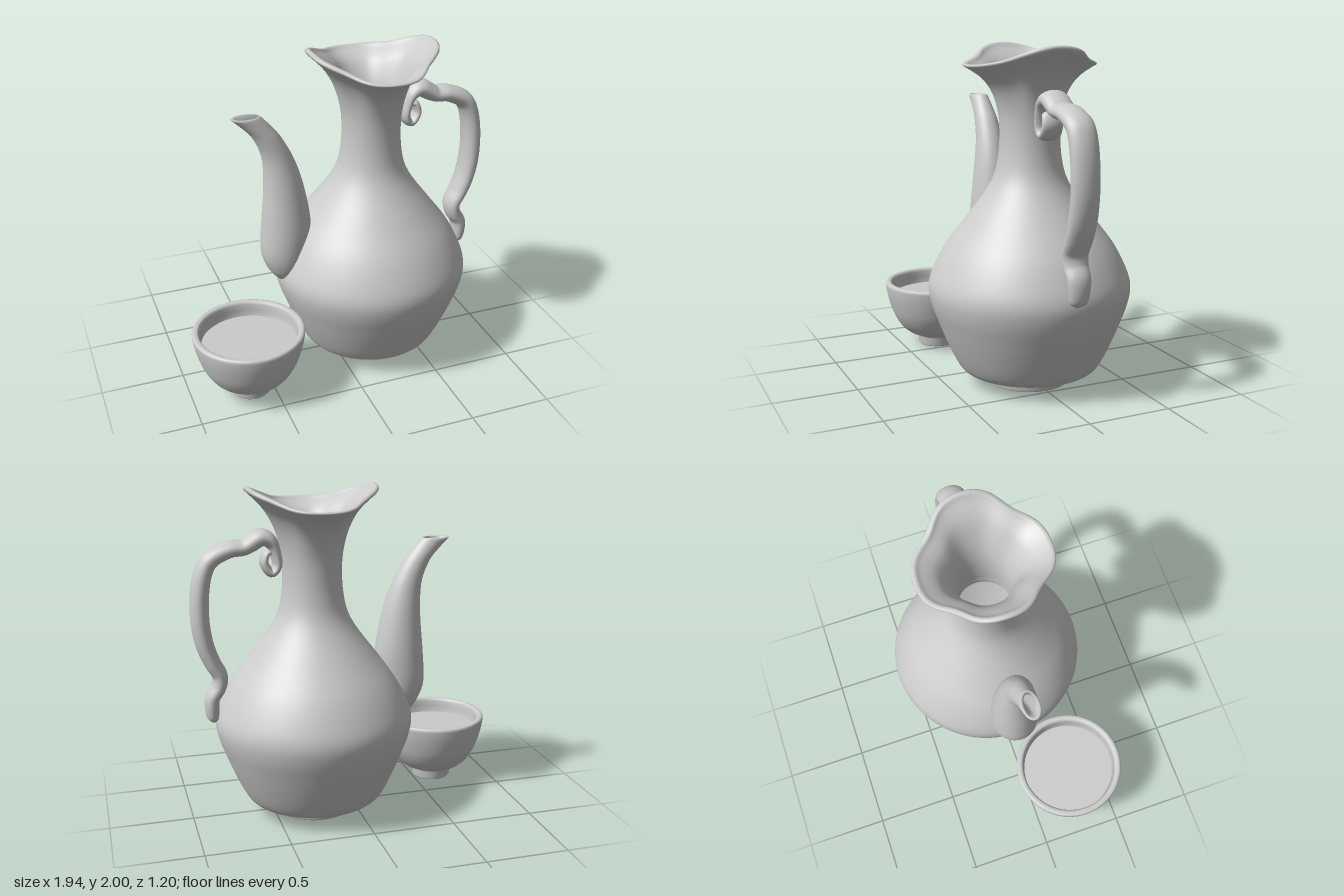
import * as THREE from 'three';

const material = new THREE.MeshStandardMaterial({ color: 0xcccccc, side: THREE.DoubleSide });

// Skin a list of closed rings, smooth all round.
function loft(name, rings) {
  const n = rings[0].length, pos = [], idx = [];
  rings.forEach(ring => ring.forEach(p => pos.push(p.x, p.y, p.z)));
  for (let i = 0; i < rings.length - 1; i++) {
    for (let j = 0; j < n; j++) {
      const a = i * n + j, b = i * n + (j + 1) % n;
      idx.push(a, b, b + n, a, b + n, a + n);
    }
  }
  const g = new THREE.BufferGeometry();
  g.setAttribute('position', new THREE.Float32BufferAttribute(pos, 3));
  g.setIndex(idx);
  g.computeVertexNormals();
  const mesh = new THREE.Mesh(g, material);
  mesh.name = name;
  return mesh;
}

const ringOf = (n, f) => Array.from({ length: n }, (_, j) => f(j / n * Math.PI * 2));

// Turn a profile of [radius, y]; warp may bend each ring.
function turned(name, profile, n, warp = (r, y) => [r, y]) {
  return loft(name, profile.map(([r0, y0]) => ringOf(n, t => {
    const [r, y] = warp(r0, y0, t);
    return new THREE.Vector3(r * Math.cos(t), y, -r * Math.sin(t));
  })));
}

const smooth = (pts, n) => new THREE.SplineCurve(pts.map(p => new THREE.Vector2(...p)))
  .getPoints(n).map(p => [p.x, p.y]);

const curve3 = pts => new THREE.CatmullRomCurve3(pts.map(p => new THREE.Vector3(...p)), false, 'catmullrom');

// Rim with four round lobes, high at the sides and low at front and back.
function rimWarp(r, y, t) {
  const k = THREE.MathUtils.clamp((y - 1.4) / 0.535, 0, 1) ** 3;
  return [r + k * (0.022 * Math.cos(4 * t) - 0.006 * Math.cos(8 * t)),
    y + k * (0.055 * Math.cos(2 * t) + 0.007 * Math.cos(4 * t))];
}

function makeJug() {
  const foot = [[0.001, 0.045], [0.205, 0.045], [0.218, 0.035], [0.223, 0.008], [0.23, 0], [0.238, 0],
    [0.248, 0.01], [0.25, 0.05], [0.254, 0.06]];
  const outside = smooth([[0.26, 0.064], [0.35, 0.075], [0.405, 0.098], [0.447, 0.16], [0.498, 0.27], [0.544, 0.385],
    [0.584, 0.5], [0.597, 0.6], [0.568, 0.7], [0.494, 0.84], [0.38, 0.99], [0.268, 1.14], [0.209, 1.25], [0.183, 1.37],
    [0.176, 1.5], [0.185, 1.62], [0.218, 1.74], [0.275, 1.835], [0.36, 1.91]], 90);
  const lip = [[0.371, 1.917], [0.376, 1.925], [0.374, 1.933], [0.366, 1.938], [0.353, 1.938], [0.344, 1.934],
    [0.339, 1.927]];
  const inside = smooth([[0.328, 1.916], [0.25, 1.85], [0.19, 1.74], [0.156, 1.62], [0.147, 1.5], [0.155, 1.37],
    [0.18, 1.25], [0.35, 0.99], [0.54, 0.7], [0.56, 0.55], [0.4, 0.14], [0.36, 0.11]], 60);
  return turned('jug', [...foot, ...outside, ...lip, ...inside, [0.001, 0.11]], 96, rimWarp);
}

// Spout sections: outer edge, inner edge (x, y) and half depth.
function makeSpout() {
  const outer = curve3([[-0.34, 0.57, 0.03], [-0.372, 0.59, 0.08], [-0.425, 0.66, 0.122], [-0.462, 0.775, 0.143],
    [-0.453, 0.97, 0.138], [-0.434, 1.2, 0.112], [-0.44, 1.39, 0.086], [-0.488, 1.52, 0.07],
    [-0.55, 1.595, 0.06], [-0.615, 1.655, 0.053]]);
  const inner = curve3([[-0.25, 0.57, 0], [-0.22, 0.61, 0], [-0.19, 0.68, 0], [-0.165, 0.8, 0],
    [-0.155, 0.97, 0], [-0.195, 1.2, 0], [-0.248, 1.37, 0], [-0.32, 1.51, 0], [-0.38, 1.59, 0], [-0.44, 1.657, 0]]);
  const section = (a, b, depth) => ringOf(32, t => {
    const k = (1 + Math.cos(t)) / 2;
    return new THREE.Vector3(a.x + (b.x - a.x) * k, a.y + (b.y - a.y) * k, -depth * Math.sin(t));
  });
  const rings = [];
  for (let i = 0; i <= 56; i++) {
    const a = outer.getPoint(i / 56), b = inner.getPoint(i / 56);
    rings.push(section(a, b, a.z));
  }
  // open mouth and bore
  [[-0.609, 1.66, -0.446, 1.661, 0.047], [-0.592, 1.658, -0.463, 1.658, 0.034], [-0.555, 1.62, -0.42, 1.62, 0.032],
    [-0.48, 1.52, -0.36, 1.52, 0.03], [-0.4, 1.38, -0.29, 1.38, 0.03]]
    .forEach(([ax, ay, bx, by, d]) => rings.push(section({ x: ax, y: ay }, { x: bx, y: by }, d)));
  return loft('spout', rings);
}

// Handle: path x, y with half thickness and half width, from curl to lower end.
function makeHandle() {
  const pts = [[0.475, 1.6, 0.002, 0.01], [0.488, 1.618, 0.02, 0.045], [0.515, 1.61, 0.025, 0.058],
    [0.527, 1.555, 0.026, 0.064], [0.487, 1.5, 0.028, 0.068], [0.45, 1.545, 0.029, 0.072],
    [0.466, 1.64, 0.034, 0.078], [0.498, 1.69, 0.045, 0.083], [0.545, 1.707, 0.053, 0.084],
    [0.6, 1.678, 0.052, 0.084], [0.65, 1.653, 0.047, 0.084], [0.73, 1.646, 0.05, 0.084], [0.835, 1.598, 0.054, 0.084],
    [0.882, 1.52, 0.054, 0.084], [0.907, 1.39, 0.055, 0.084], [0.91, 1.23, 0.055, 0.084], [0.888, 1.09, 0.053, 0.084],
    [0.848, 0.98, 0.049, 0.083], [0.808, 0.9, 0.046, 0.08], [0.816, 0.83, 0.045, 0.076],
    [0.855, 0.765, 0.044, 0.071], [0.86, 0.69, 0.042, 0.063], [0.853, 0.635, 0.033, 0.05], [0.85, 0.608, 0.002, 0.012]];
  const path = curve3(pts.map(p => [p[0], p[1], 0]));
  const size = curve3(pts.map(p => [p[2], p[3], 0]));
  const rings = [];
  for (let i = 0; i <= 150; i++) {
    const p = path.getPoint(i / 150), s = size.getPoint(i / 150), d = path.getTangent(i / 150);
    rings.push(ringOf(24, t => new THREE.Vector3(
      p.x + d.y * s.x * Math.cos(t), p.y - d.x * s.x * Math.cos(t), -s.y * Math.sin(t))));
  }
  return loft('handle', rings);
}

function makeCup() {
  const cup = new THREE.Group();
  cup.name = 'cup';
  const foot = [[0.001, 0.05], [0.092, 0.05], [0.104, 0.042], [0.108, 0.008], [0.112, 0], [0.117, 0],
    [0.123, 0.008], [0.126, 0.055], [0.132, 0.066]];
  const outside = smooth([[0.14, 0.07], [0.188, 0.09], [0.24, 0.136], [0.285, 0.212], [0.312, 0.29],
    [0.329, 0.36], [0.336, 0.41]], 30);
  const rim = [[0.336, 0.42], [0.331, 0.428], [0.322, 0.431], [0.306, 0.43], [0.298, 0.424], [0.294, 0.412]];
  const inside = smooth([[0.292, 0.39], [0.285, 0.33], [0.25, 0.23], [0.17, 0.13], [0.1, 0.1]], 20);
  const bowl = turned('bowl', [...foot, ...outside, ...rim, ...inside, [0.001, 0.1]], 64);
  // still surface of the drink
  const drink = new THREE.Mesh(new THREE.CircleGeometry(0.288, 64).rotateX(-Math.PI / 2), material);
  drink.name = 'drink';
  drink.position.y = 0.335;
  cup.add(bowl, drink);
  return cup;
}

export function createModel() {
  const model = new THREE.Group();
  model.name = 'jugAndCup';
  const jug = makeJug();
  jug.position.x = 0.24;
  const cup = makeCup();
  cup.position.set(-0.635, 0, 0.265);
  model.add(jug, makeSpout(), makeHandle(), cup);
  return model;
}
